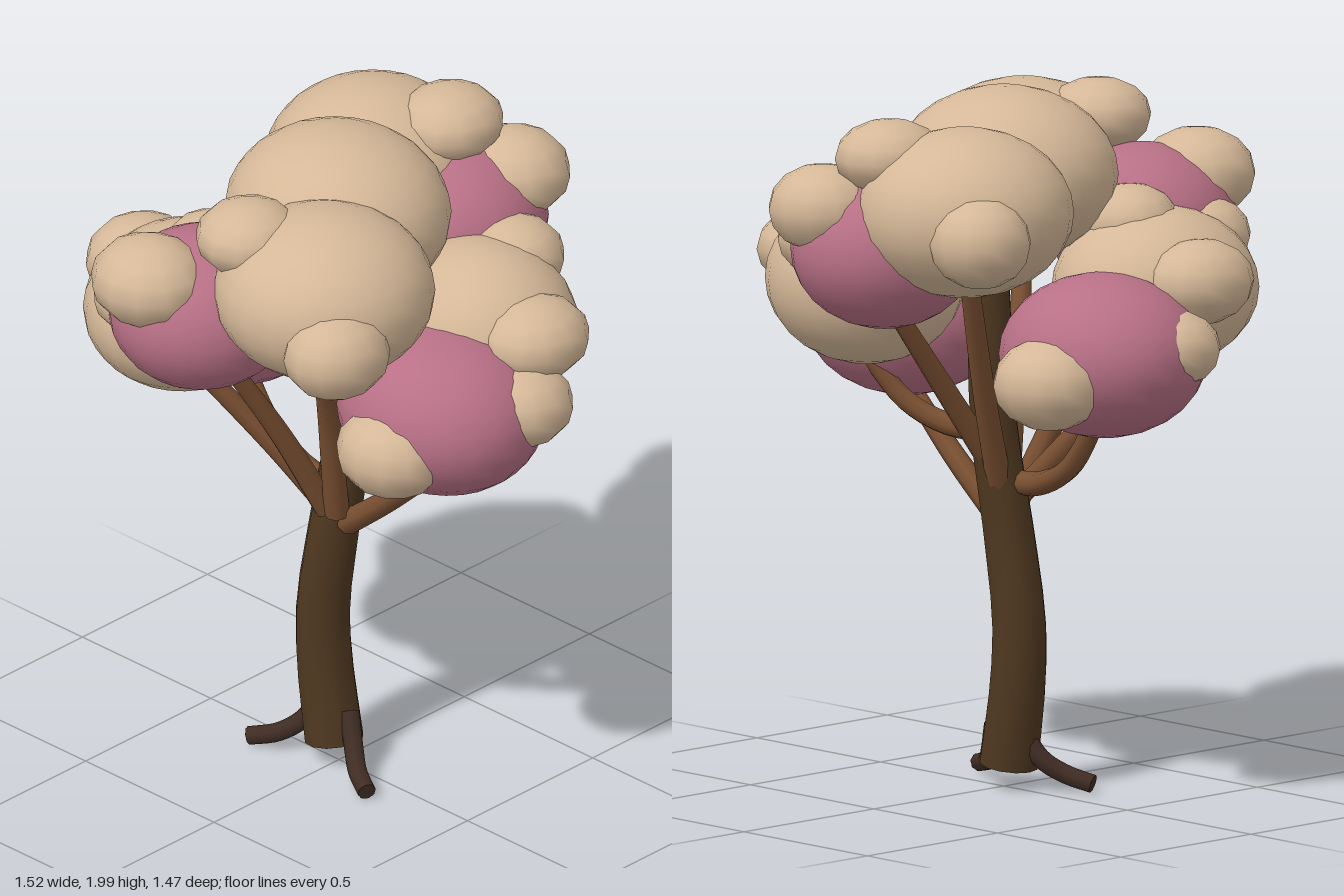
import * as THREE from 'three';

const mat = (name, color, side = THREE.FrontSide) => {
  const m = new THREE.MeshStandardMaterial({ color, side });
  m.name = name;
  return m;
};

// Tapered tube through a few points
function limb(name, points, r0, r1, sides, material, capped = false) {
  const curve = new THREE.CatmullRomCurve3(points.map(p => new THREE.Vector3(...p)));
  const steps = 14;
  const geo = new THREE.TubeGeometry(curve, steps, 1, sides);
  const pos = geo.attributes.position;
  const v = new THREE.Vector3();
  for (let i = 0; i < pos.count; i++) {
    const t = Math.floor(i / (sides + 1)) / steps;
    const c = curve.getPointAt(t);
    v.fromBufferAttribute(pos, i).sub(c).multiplyScalar(r0 + (r1 - r0) * t).add(c);
    pos.setXYZ(i, v.x, v.y, v.z);
  }
  const mesh = new THREE.Mesh(geo, material);
  mesh.name = name;
  if (capped) {
    const cap = new THREE.Mesh(new THREE.CircleGeometry(r1, sides), material);
    cap.name = name + 'Tip';
    cap.position.copy(curve.getPointAt(1));
    cap.quaternion.setFromUnitVectors(new THREE.Vector3(0, 0, 1), curve.getTangentAt(1));
    mesh.add(cap);
  }
  return mesh;
}

export function createModel() {
  const tree = new THREE.Group();
  tree.name = 'tree';
  const bark = mat('darkBark', 0x4f3820, THREE.DoubleSide);
  const wood = mat('branchBrown', 0x7a5032, THREE.DoubleSide);
  const rootBrown = mat('rootBrown', 0x402d24, THREE.DoubleSide);
  const tan = mat('tanLeaves', 0xd5b898);
  const pink = mat('pinkLeaves', 0xb87086);

  // Curved trunk
  tree.add(limb('trunk', [[-0.02, 0.075, 0], [-0.055, 0.3, 0], [-0.062, 0.48, 0], [-0.03, 0.75, -0.012],
    [0, 1.05, -0.04], [0.01, 1.45, -0.05]], 0.084, 0.06, 12, bark));

  // Roots
  [[[-0.07, 0.18, 0], [-0.12, 0.1, 0.03], [-0.17, 0.06, 0.07], [-0.245, 0.035, 0.11]],
    [[0.04, 0.18, 0], [0.085, 0.1, 0.03], [0.14, 0.055, 0.07], [0.215, 0.035, 0.11]],
  ].forEach(p => tree.add(limb('root', p, 0.028, 0.026, 8, rootBrown, true)));

  // Branches, one towards each outer leaf clump
  [
    [[-0.04, 0.88, 0], [-0.15, 0.89, -0.01], [-0.3, 0.96, -0.03], [-0.45, 1.15, -0.05]],
    [[0.03, 0.78, 0], [0.2, 0.92, 0], [0.42, 1.12, 0.01]],
    [[0.02, 1.02, -0.03], [0.15, 1.03, -0.08], [0.25, 1.09, -0.14], [0.35, 1.25, -0.22]],
    [[-0.03, 0.83, 0.02], [-0.16, 1.0, 0.1], [-0.34, 1.26, 0.25]],
    [[-0.02, 0.82, 0.03], [-0.07, 1.1, 0.17], [-0.13, 1.42, 0.36]],
    [[0.02, 0.82, 0.03], [0.06, 1.15, 0.1], [0.12, 1.36, 0.18], [0.22, 1.54, 0.28]],
    [[-0.03, 0.85, -0.04], [-0.09, 1.15, -0.16], [-0.19, 1.55, -0.32]],
    [[0, 0.95, -0.06], [0.02, 1.15, -0.2], [0.03, 1.42, -0.4]],
  ].forEach(p => tree.add(limb('branch', p, 0.036, 0.026, 8, wood)));

  // Leaf clumps: squashed spheres as [x, y, z, rx, ry, rz]
  const bigShape = new THREE.SphereGeometry(1, 24, 14);
  const smallShape = new THREE.SphereGeometry(1, 12, 8);
  const clumps = (name, shape, material, list) => list.forEach(([x, y, z, rx, ry, rz = rx]) => {
    const m = new THREE.Mesh(shape, material);
    m.name = name;
    m.position.set(x, y, z);
    m.scale.set(rx, ry, rz);
    tree.add(m);
  });

  clumps('tanClump', bigShape, tan, [
    [-0.015, 1.755, -0.01, 0.325, 0.245, 0.31],
    [-0.2, 1.71, -0.34, 0.305, 0.237],
    [0.225, 1.715, 0.29, 0.31, 0.237],
    [0.32, 1.44, -0.23, 0.29, 0.24, 0.27],
    [-0.34, 1.44, 0.26, 0.28, 0.23, 0.3],
  ]);
  clumps('pinkClump', bigShape, pink, [
    [0.41, 1.305, 0.01, 0.308, 0.236, 0.28],
    [-0.445, 1.3, -0.04, 0.3, 0.23, 0.285],
    [-0.13, 1.575, 0.41, 0.262, 0.225, 0.27],
    [0.03, 1.59, -0.43, 0.262, 0.225, 0.265],
  ]);
  clumps('smallTanClump', smallShape, tan, [
    [0.43, 1.66, 0.45, 0.145, 0.13, 0.16],
    [0.04, 1.86, 0.4, 0.152, 0.105],
    [-0.18, 1.705, 0.575, 0.17, 0.127, 0.16],
    [-0.31, 1.56, 0.46, 0.145, 0.11],
    [-0.28, 1.62, 0.22, 0.14, 0.11],
    [-0.56, 1.49, 0.22, 0.145, 0.12, 0.165],
    [-0.62, 1.33, 0.05, 0.145, 0.11],
    [0.42, 1.25, 0.22, 0.165, 0.13, 0.15],
    [0.61, 1.35, -0.1, 0.15, 0.12],
    [0.555, 1.495, -0.21, 0.15, 0.115, 0.165],
    [0.29, 1.58, -0.4, 0.145, 0.11],
    [-0.47, 1.25, -0.27, 0.165, 0.13, 0.16],
    [-0.02, 1.86, -0.46, 0.15, 0.105, 0.16],
    [-0.41, 1.67, -0.48, 0.145, 0.13],
    [0.12, 1.71, -0.58, 0.16, 0.125, 0.155],
  ]);
  return tree;
}
